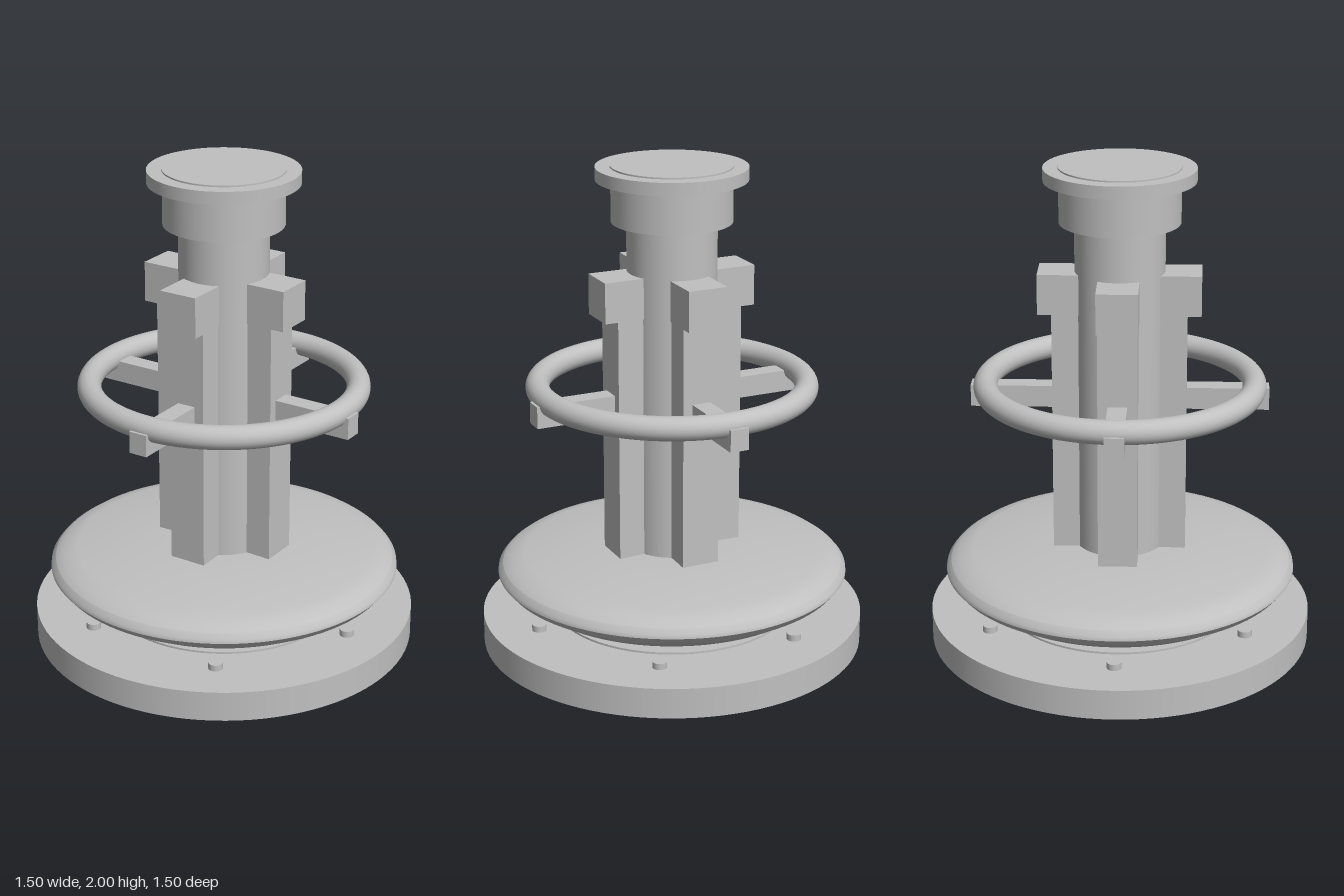
import * as THREE from 'three';

export function createModel() {
  const model = new THREE.Group();
  const grey = new THREE.MeshStandardMaterial({ color: 0xc0c0c0 });

  const add = (name, geometry, parent = model) => {
    const mesh = new THREE.Mesh(geometry, grey);
    mesh.name = name;
    parent.add(mesh);
    return mesh;
  };
  // upright cylinder between two heights
  const disc = (name, r, y0, y1, seg = 64, x = 0, z = 0) =>
    add(name, new THREE.CylinderGeometry(r, r, y1 - y0, seg)).position.set(x, (y0 + y1) / 2, z);
  // box given by its min and max corners
  const box = (name, a, b, parent = model) =>
    add(name, new THREE.BoxGeometry(b[0] - a[0], b[1] - a[1], b[2] - a[2]), parent)
      .position.set((a[0] + b[0]) / 2, (a[1] + b[1]) / 2, (a[2] + b[2]) / 2);

  // base and stepped plinth
  disc('base', 0.75, 0.095, 0.215, 96);
  disc('basePlate', 0.465, 0.215, 0.223);
  disc('plinthFoot', 0.39, 0.22, 0.24);
  disc('plinthLower', 0.42, 0.24, 0.285);
  disc('plinthUpper', 0.53, 0.283, 0.31);

  // ring of bolts on the base
  for (let i = 0; i < 6; i++) {
    const a = i * Math.PI / 3;
    disc('bolt', 0.028, 0.21, 0.24, 20, 0.57 * Math.cos(a), 0.57 * Math.sin(a));
  }

  // domed turntable: separate lathe bands keep the ridges sharp
  const bands = [
    [[0, 0.305], [0.58, 0.305]],
    [[0.58, 0.305], [0.662, 0.355]],
    [[0.662, 0.355], [0.687, 0.385]],
    [[0.687, 0.385], [0.685, 0.4], [0.668, 0.42]],
    [[0.668, 0.42], [0.64, 0.44], [0.58, 0.458], [0.36, 0.482], [0.2, 0.487], [0, 0.488]],
  ];
  const turntable = new THREE.Group();
  turntable.name = 'turntable';
  model.add(turntable);
  for (const band of bands) {
    add('turntableBand', new THREE.LatheGeometry(band.map(p => new THREE.Vector2(...p)), 96), turntable);
  }

  // central column and cap
  disc('column', 0.172, 0.48, 1.79);
  disc('capNeck', 0.23, 1.785, 1.95);
  disc('capFlange', 0.288, 1.945, 1.994);
  disc('capTop', 0.232, 1.99, 2.0);

  // four posts with head blocks and wheel arms
  for (let i = 0; i < 4; i++) {
    const side = new THREE.Group();
    side.name = 'postAssembly';
    side.rotation.y = i * Math.PI / 2;
    model.add(side);
    box('post', [-0.075, 0.48, 0.1], [0.075, 1.45, 0.257], side);
    box('postHead', [-0.078, 1.44, 0.15], [0.078, 1.597, 0.31], side);
    box('wheelArm', [-0.037, 1.055, 0.2], [0.037, 1.14, 0.573], side);
  }

  // hand wheel
  const wheel = add('handWheel', new THREE.TorusGeometry(0.517, 0.046, 24, 96));
  wheel.rotation.x = Math.PI / 2;
  wheel.position.y = 1.142;

  // crank beneath the base
  disc('crankShaft', 0.018, 0.07, 0.1, 20);
  box('crankElbow', [0, 0.02, -0.013], [0.065, 0.073, 0.013]);
  box('crankArm', [0, 0.018, -0.013], [0.26, 0.044, 0.013]);
  const grip = add('crankGrip', new THREE.CylinderGeometry(0.025, 0.025, 0.09, 24));
  grip.rotation.z = Math.PI / 2;
  grip.position.set(0.295, 0.027, 0);

  return model;
}
